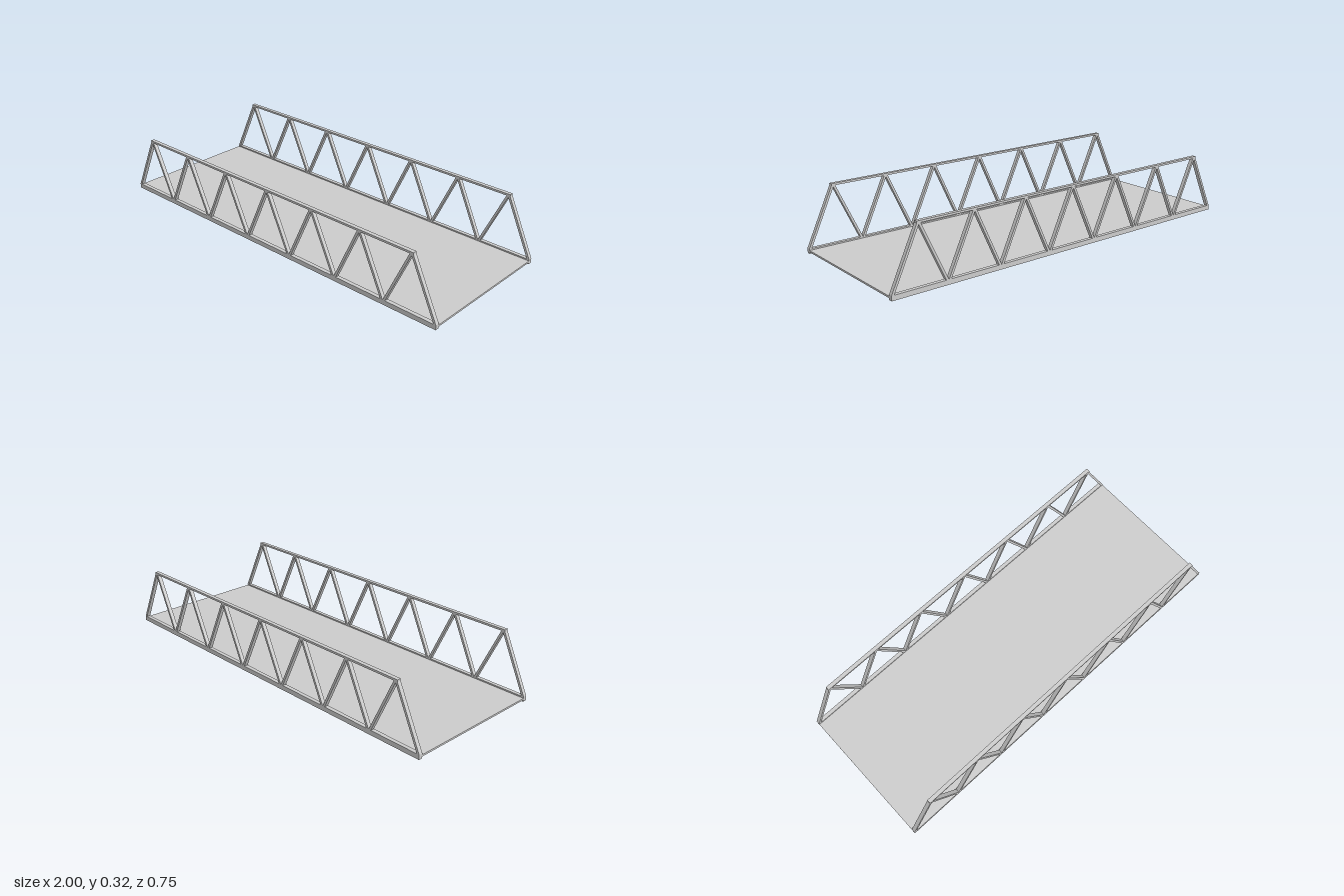
import * as THREE from 'three';

const grey = new THREE.MeshStandardMaterial({ color: 0xcccccc, flatShading: true });

const PANELS = 7;            // triangles along each truss
const STEP = 2 / PANELS;     // panel length
const DEPTH = 0.02;          // truss thickness across the bridge
const TRUSS_Z = 0.365;       // truss centre line
const CHORD_TOP = 0.024;     // top of the bottom chord
const RAIL_LOW = 0.308, RAIL_HIGH = 0.318;
const BAR = 0.013;           // horizontal width of a diagonal

function box(name, width, y0, y1, depth) {
  const mesh = new THREE.Mesh(new THREE.BoxGeometry(width, y1 - y0, depth), grey);
  mesh.position.y = (y0 + y1) / 2;
  mesh.name = name;
  return mesh;
}

// Slanted bar with level ends, given the left edge of its foot and of its head
function diagonal(footX, headX) {
  const shape = new THREE.Shape([
    new THREE.Vector2(footX, CHORD_TOP),
    new THREE.Vector2(footX + BAR, CHORD_TOP),
    new THREE.Vector2(headX + BAR, RAIL_LOW),
    new THREE.Vector2(headX, RAIL_LOW),
  ]);
  const geometry = new THREE.ExtrudeGeometry(shape, { depth: DEPTH, bevelEnabled: false });
  geometry.translate(0, 0, -DEPTH / 2);
  const mesh = new THREE.Mesh(geometry, grey);
  mesh.name = 'diagonal';
  return mesh;
}

function truss(name, z) {
  const group = new THREE.Group();
  group.name = name;
  group.position.z = z;
  group.add(box('bottomChord', 2, 0, CHORD_TOP, DEPTH));
  group.add(box('topChord', 1.734, RAIL_LOW, RAIL_HIGH, DEPTH));
  for (let i = 0; i < PANELS; i++) {
    const left = -1 + i * STEP, right = left + STEP, apex = left + STEP / 2;
    group.add(diagonal(left, apex - BAR + 0.003));
    group.add(diagonal(right - BAR, apex - 0.003));
  }
  return group;
}

export function createModel() {
  const bridge = new THREE.Group();
  bridge.name = 'trussBridge';
  // Road deck set between the two side trusses
  bridge.add(box('deck', 2, 0.008, 0.017, 2 * TRUSS_Z - DEPTH));
  bridge.add(truss('frontTruss', TRUSS_Z), truss('backTruss', -TRUSS_Z));
  return bridge;
}
